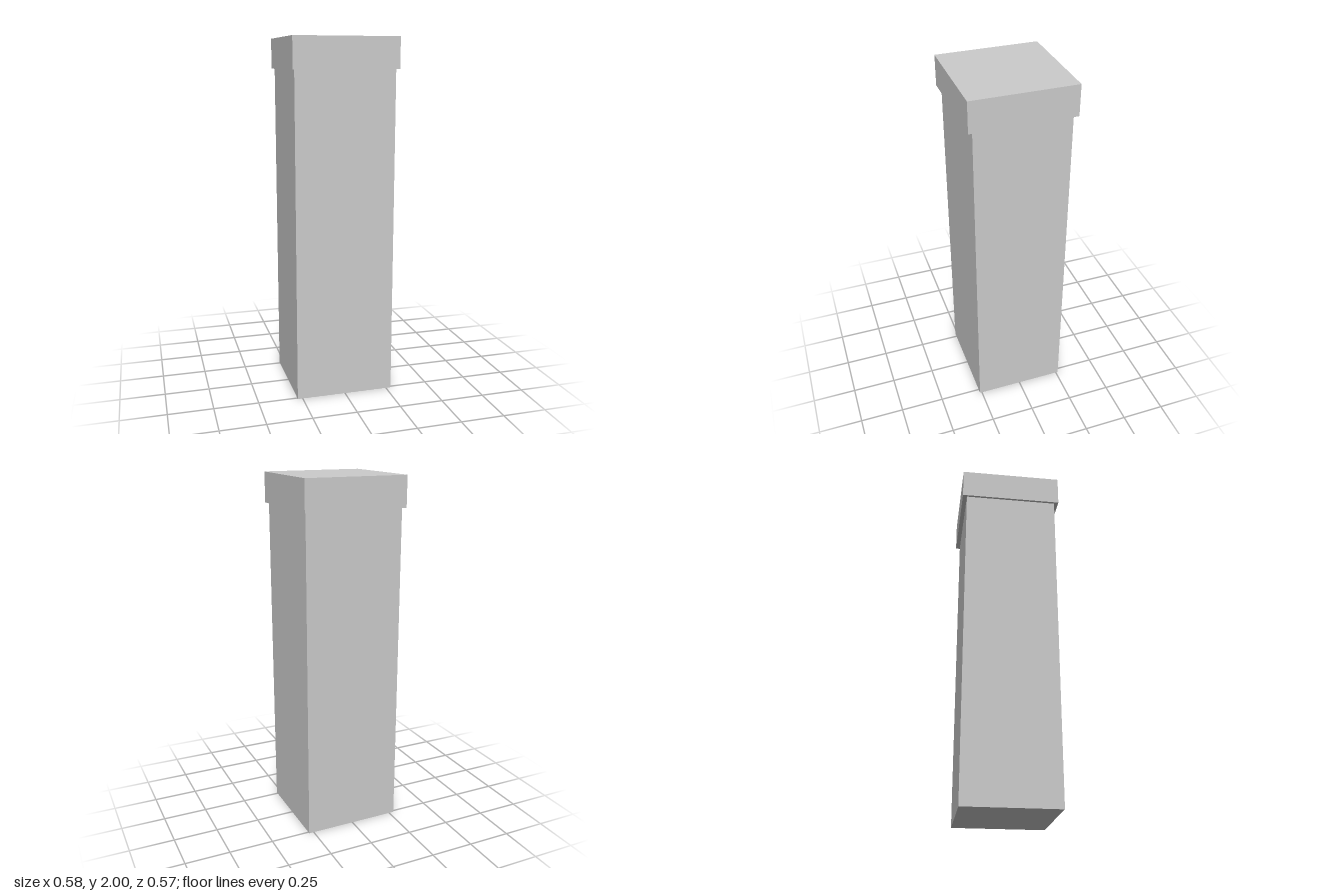
import * as THREE from 'three';

export function createModel() {
  const group = new THREE.Group();
  group.name = 'pillar';
  const material = new THREE.MeshStandardMaterial({ color: 0xcccccc, flatShading: true });

  // Box spanning bottom..top, centred on the vertical axis
  const addBlock = (name, width, depth, bottom, top) => {
    const mesh = new THREE.Mesh(new THREE.BoxGeometry(width, top - bottom, depth), material);
    mesh.name = name;
    mesh.position.y = (bottom + top) / 2;
    group.add(mesh);
  };

  addBlock('shaft', 0.557, 0.525, 0, 1.83);
  addBlock('cap', 0.584, 0.573, 1.83, 2);

  return group;
}
